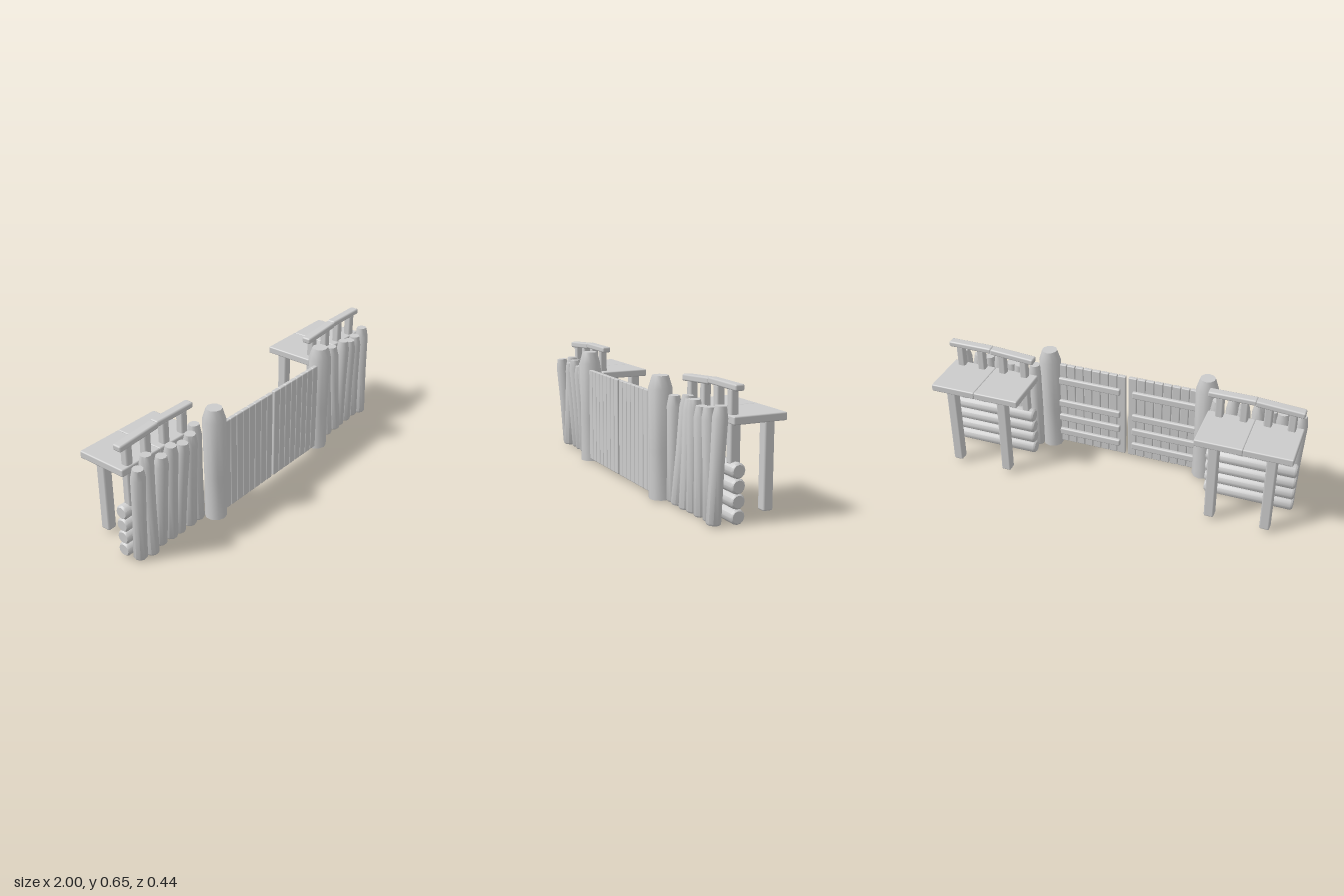
import * as THREE from 'three';
import { RoundedBoxGeometry } from 'three/addons/geometries/RoundedBoxGeometry.js';
import { toCreasedNormals } from 'three/addons/utils/BufferGeometryUtils.js';

const material = new THREE.MeshStandardMaterial({ color: 0xcccccc });
const UP = new THREE.Vector3(0, 1, 0);

function add(parent, name, geometry) {
  const mesh = new THREE.Mesh(geometry, material);
  mesh.name = name;
  parent.add(mesh);
  return mesh;
}

// Log between two points; profile rows are [radius, fraction of length]
function log(parent, name, from, to, profile, sides = 10) {
  const a = new THREE.Vector3(...from);
  const dir = new THREE.Vector3(...to).sub(a);
  const length = dir.length();
  const points = profile.map(([r, t]) => new THREE.Vector2(r, t * length));
  const mesh = add(parent, name, toCreasedNormals(new THREE.LatheGeometry(points, sides), 0.7));
  mesh.position.copy(a);
  mesh.quaternion.setFromUnitVectors(UP, dir.normalize());
  return mesh;
}

// Box with chamfered edges
function beam(parent, name, size, position, bevel = 0.007) {
  const mesh = add(parent, name, new RoundedBoxGeometry(...size, 1, bevel));
  mesh.position.set(...position);
  return mesh;
}

const STAKE = [[0, 0], [0.032, 0], [0.037, 0.015], [0.035, 0.5], [0.038, 0.9], [0.028, 1], [0, 1]];
const POST = [[0, 0], [0.058, 0], [0.056, 0.4], [0.061, 0.9], [0.042, 1], [0, 1]];
const LOG = [[0, 0], [0.03, 0], [0.038, 0.02], [0.038, 0.98], [0.03, 1], [0, 1]];

// Stakes per side, from the gate outward: [x, top height, base z, top z]
const STAKES = {
  left: [[0.53, 0.54, 0.12, 0.12], [0.6, 0.55, 0.13, 0.085], [0.67, 0.54, 0.13, 0.1],
    [0.74, 0.555, 0.12, 0.125], [0.81, 0.535, 0.12, 0.125], [0.88, 0.54, 0.115, 0.12], [0.955, 0.56, 0.134, 0.112]],
  right: [[0.53, 0.56, 0.1, 0.092], [0.6, 0.555, 0.1, 0.135], [0.67, 0.53, 0.1, 0.135],
    [0.74, 0.555, 0.1, 0.135], [0.81, 0.53, 0.095, 0.135], [0.885, 0.555, 0.12, 0.1], [0.96, 0.535, 0.1, 0.135]],
};

function createTower(side, s) {
  const tower = new THREE.Group();
  tower.name = side + 'Tower';

  // Leaning palisade
  STAKES[side].forEach(([x, top, z0, z1], i) => {
    const lean = 0.008 * Math.sin(i * 2.3);
    const stake = log(tower, 'stake', [s * (x - lean), 0.008, z0], [s * (x + lean), top, z1], STAKE);
    stake.rotateY(i * 0.7);
  });

  // Stacked logs behind the palisade
  [0.039, 0.112, 0.183, 0.256].forEach((y) => {
    log(tower, 'wallLog', [s * 0.505, y, 0.03], [s * 0.995, y, 0.03], LOG, 12);
  });

  // Fighting platform on two rear legs
  for (const x of [0.616, 0.87]) {
    beam(tower, 'platformBoard', [0.256, 0.04, 0.285], [s * x, 0.49, -0.079]);
  }
  for (const x of [0.59, 0.89]) {
    beam(tower, 'platformLeg', [0.054, 0.455, 0.054], [s * x, 0.247, -0.182], 0.009);
  }

  // Railing uprights and two handrail lengths
  for (const x of [0.555, 0.685, 0.812, 0.937]) {
    beam(tower, 'railPost', [0.042, 0.35, 0.042], [s * x, 0.455, 0.035], 0.009);
  }
  const tilted = s > 0 ? 0.62 : 0.87;
  const level = s > 0 ? 0.87 : 0.62;
  const rail = beam(tower, 'handrail', [0.256, 0.034, 0.052], [s * tilted, 0.627, 0.035], 0.009);
  rail.rotation.z = 0.07;
  beam(tower, 'handrail', [0.256, 0.032, 0.05], [s * level, 0.639, 0.034], 0.009);
  return tower;
}

function createDoor(side, s) {
  const door = new THREE.Group();
  door.name = side + 'Door';

  // Upright planks
  const count = 8;
  const pitch = 0.4 / count;
  for (let i = 0; i < count; i++) {
    beam(door, 'doorPlank', [pitch - 0.002, 0.52, 0.024],
      [s * (0.007 + pitch * (i + 0.5)), 0.283, 0.172], 0.005);
  }

  // Cross rails on the back
  for (const y of [0.445, 0.295, 0.198, 0.1]) {
    beam(door, 'doorRail', [0.37, 0.042, 0.024], [s * 0.22, y, 0.151], 0.008);
  }
  return door;
}

export function createModel() {
  const model = new THREE.Group();
  model.name = 'palisadeGate';
  for (const [side, s] of [['left', 1], ['right', -1]]) {
    model.add(createTower(side, s), createDoor(side, s));
    // Large pole beside the door
    log(model, side + 'GatePost', [s * 0.453, 0.008, 0.158], [s * 0.453, s > 0 ? 0.63 : 0.64, 0.158], POST);
  }
  return model;
}
